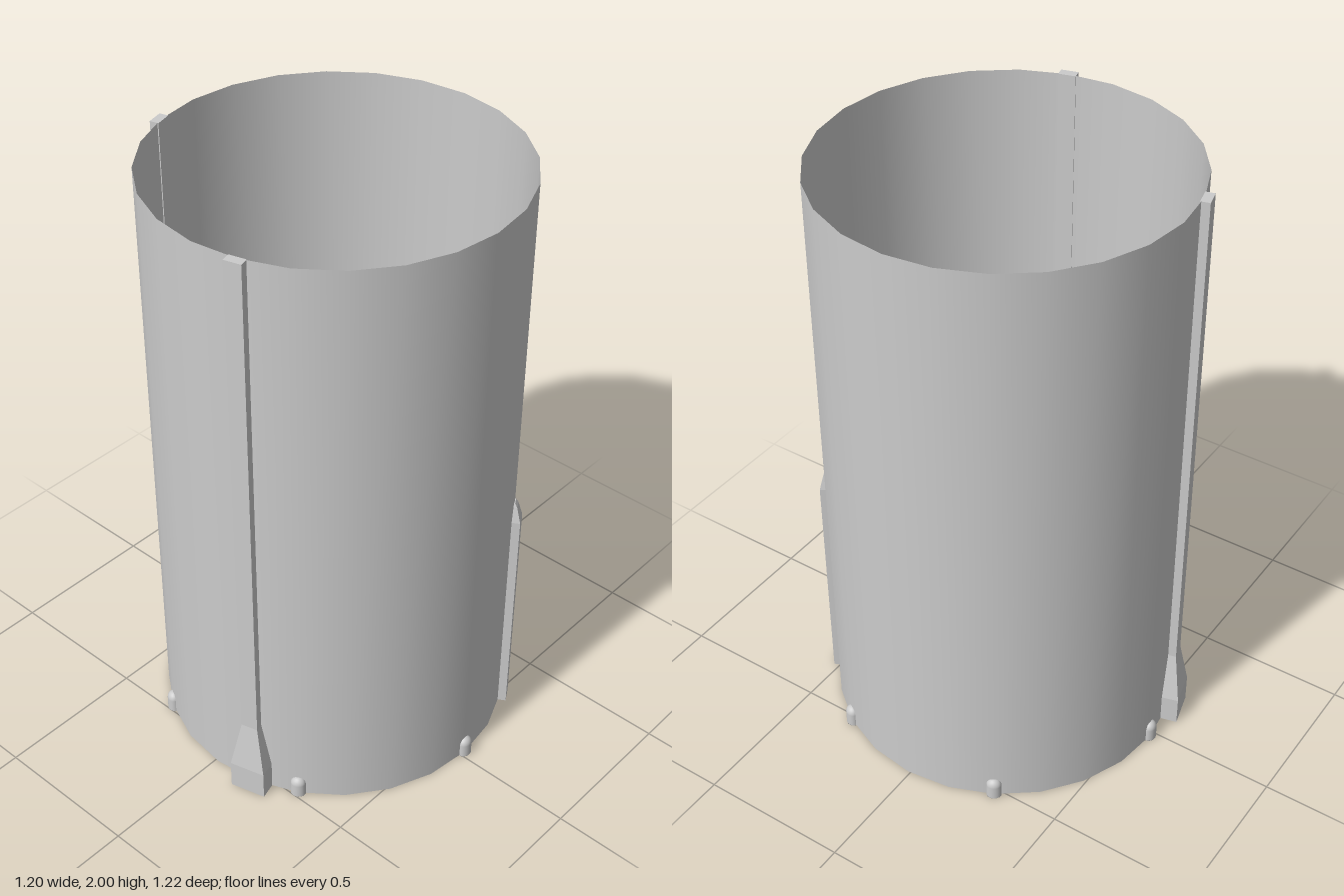
import * as THREE from 'three';

const RADIUS = 0.58;
const HEIGHT = 2;

// Four-sided bar lofted through rows of [y, halfWidth, innerRadius, outerRadius]
function loftedBar(rows) {
  const n = rows.length - 1;
  const geo = new THREE.BoxGeometry(1, 1, 1, 1, n, 1);
  const p = geo.attributes.position;
  for (let i = 0; i < p.count; i++) {
    const [y, half, inner, outer] = rows[Math.round((p.getY(i) + 0.5) * n)];
    p.setXYZ(i, Math.sign(p.getX(i)) * half, y, p.getZ(i) > 0 ? outer : inner);
  }
  geo.computeVertexNormals();
  return geo;
}

export function createModel() {
  const model = new THREE.Group();
  model.name = 'openTube';
  const smooth = new THREE.MeshStandardMaterial({ color: 0xcccccc, side: THREE.DoubleSide });
  const flat = new THREE.MeshStandardMaterial({ color: 0xcccccc, flatShading: true });

  // The tube sits slightly off centre because of the flared rib feet
  const body = new THREE.Group();
  body.name = 'tubeAssembly';
  body.position.set(0.02, 0, 0.01);
  model.add(body);

  const add = (name, geo, mat, degrees = 0) => {
    const mesh = new THREE.Mesh(geo, mat);
    mesh.name = name;
    mesh.rotation.y = THREE.MathUtils.degToRad(degrees);
    body.add(mesh);
  };

  // Thin open wall
  const wall = new THREE.CylinderGeometry(RADIUS, RADIUS, HEIGHT, 24, 1, true);
  wall.translate(0, HEIGHT / 2, 0);
  add('tubeWall', wall, smooth);

  // Two full-height ribs with flared feet
  const tallRib = loftedBar([
    [0, 0.06, 0.572, 0.628],
    [0.1, 0.06, 0.572, 0.628],
    [0.27, 0.028, 0.573, 0.603],
    [HEIGHT, 0.028, 0.573, 0.603],
  ]);
  add('backRib', tallRib, flat, 195);
  add('sideRib', tallRib, flat, 285);

  // Short front rib with a tapered tip
  const shortRib = loftedBar([
    [0, 0.026, 0.576, 0.604],
    [0.79, 0.026, 0.576, 0.604],
    [0.845, 0.016, 0.576, 0.59],
    [0.86, 0.012, 0.576, 0.582],
  ]);
  add('shortRib', shortRib, flat, 30);

  // Six half-round studs with domed tops around the bottom rim
  const profile = [new THREE.Vector2(0, 0), new THREE.Vector2(0.025, 0), new THREE.Vector2(0.025, 0.001)];
  for (let i = 0; i <= 6; i++) {
    const a = (i / 6) * Math.PI / 2;
    profile.push(new THREE.Vector2(0.025 * Math.cos(a), 0.045 + 0.025 * Math.sin(a)));
  }
  const stud = new THREE.LatheGeometry(profile, 12, -Math.PI / 2, Math.PI);
  stud.scale(1, 1, 0.85);
  stud.translate(0, 0, RADIUS - 0.002);
  for (let i = 0; i < 6; i++) add('rimStud' + (i + 1), stud, smooth, i * 60);

  return model;
}
